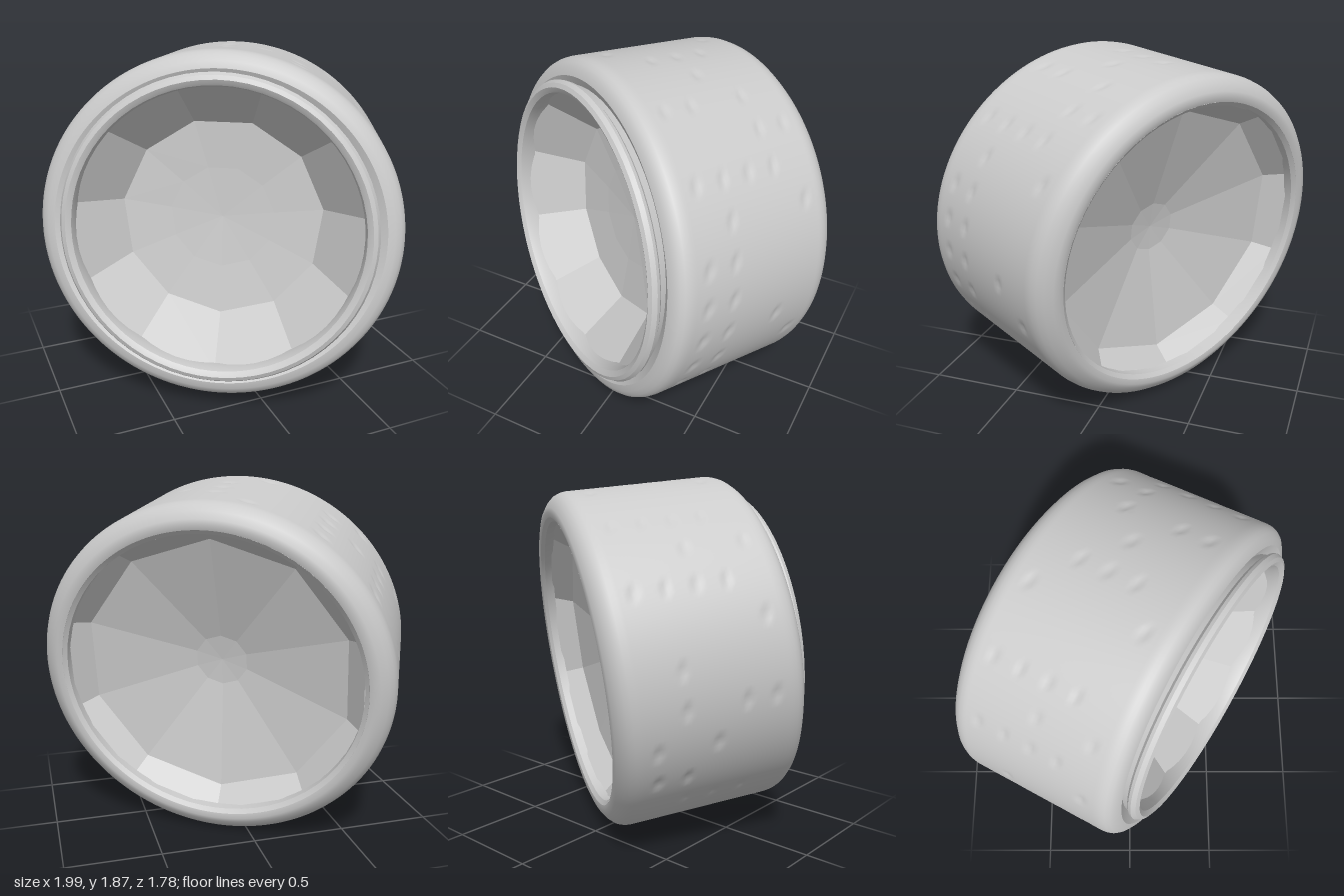
import * as THREE from 'three';
import { toCreasedNormals } from 'three/addons/utils/BufferGeometryUtils.js';

// The wheel leans: its discs face along one direction while the tread runs along a slightly different one.
const axle = new THREE.Vector3(-0.476, 0.1, 0.875);
function lean(tilt, width) {
  const normal = new THREE.Vector3(-0.525, tilt, 0.839).normalize();
  const across = new THREE.Vector3(normal.z, 0, -normal.x).normalize();
  const upward = new THREE.Vector3().crossVectors(across, normal);
  return new THREE.Matrix4()
    .makeBasis(across.multiplyScalar(width), axle, upward)
    .setPosition(0, 0.935, 0);
}
const tyrePose = lean(0.128, 1.04); // slightly oval
const rimPose = lean(0.1, 1.01);

// Small repeatable hash for the surface wear
function noise(i, j) {
  const s = Math.sin(i * 127.1 + j * 311.7) * 43758.5453;
  return s - Math.floor(s);
}

function lathe(profile, segments) {
  return new THREE.LatheGeometry(profile.map(([r, t]) => new THREE.Vector2(r, t)), segments);
}

function part(name, geometry, pose, flat) {
  geometry.applyMatrix4(pose);
  const finished = flat ? geometry.toNonIndexed() : toCreasedNormals(geometry, 0.55);
  if (flat) finished.computeVertexNormals();
  const mesh = new THREE.Mesh(finished, new THREE.MeshStandardMaterial({
    color: 0xcccccc, flatShading: flat, side: THREE.DoubleSide,
  }));
  mesh.name = name;
  return mesh;
}

// Tyre with bevelled shoulders and small worn pits in rows around the tread
function tyreGeometry() {
  const profile = [[0.77, -0.46], [0.778, -0.488], [0.805, -0.494], [0.83, -0.486],
    [0.865, -0.463], [0.888, -0.437], [0.899, -0.41]];
  const steps = 44;
  for (let i = 0; i <= steps; i++) profile.push([0.903, -0.385 + (0.77 * i) / steps]);
  profile.push([0.9, 0.41], [0.893, 0.43], [0.878, 0.45], [0.85, 0.468], [0.815, 0.476], [0.78, 0.458], [0.75, 0.44]);
  const geometry = lathe(profile, 240);
  const pos = geometry.attributes.position;
  const columns = 30, rowGap = 0.15;
  for (let i = 0; i < pos.count; i++) {
    const x = pos.getX(i), t = pos.getY(i), z = pos.getZ(i);
    const r = Math.hypot(x, z);
    if (r < 0.9) continue;
    const turn = (Math.atan2(x, z) / (2 * Math.PI) + 1) % 1 * columns;
    const column = Math.round(turn) % columns, row = Math.round(t / rowGap);
    if (Math.abs(row) > 2 || noise(column, row) < 0.55) continue;
    const du = (turn - Math.round(turn)) * (2 * Math.PI * r / columns) / 0.045;
    const dt = (t - row * rowGap) / 0.028;
    const dent = 0.008 * Math.max(0, 1 - du * du - dt * dt);
    pos.setXYZ(i, x * (1 - dent / r), t, z * (1 - dent / r));
  }
  return geometry;
}

export function createModel() {
  const group = new THREE.Group();
  group.name = 'wheel';

  group.add(part('tyre', tyreGeometry(), tyrePose, false));

  // Raised front rim, separated from the tyre by a groove
  group.add(part('frontRim', lathe([[0.77, 0.43], [0.78, 0.468], [0.798, 0.483], [0.803, 0.5],
    [0.79, 0.522], [0.768, 0.532], [0.752, 0.524], [0.74, 0.515], [0.732, 0.48], [0.735, 0.43]], 64), rimPose, false));

  // Inner lip of the back opening
  group.add(part('backLip', lathe([[0.76, -0.42], [0.757, -0.47], [0.778, -0.488]], 64), tyrePose, false));

  // Faceted bowls closing both sides
  group.add(part('frontDish', lathe([[0.765, 0.46], [0.54, 0.19], [0.28, 0.165], [0, 0.15]], 11), rimPose, true));
  group.add(part('backDish', lathe([[0, -0.17], [0.14, -0.18], [0.7, -0.32], [0.79, -0.43]], 10), tyrePose, true));

  return group;
}
